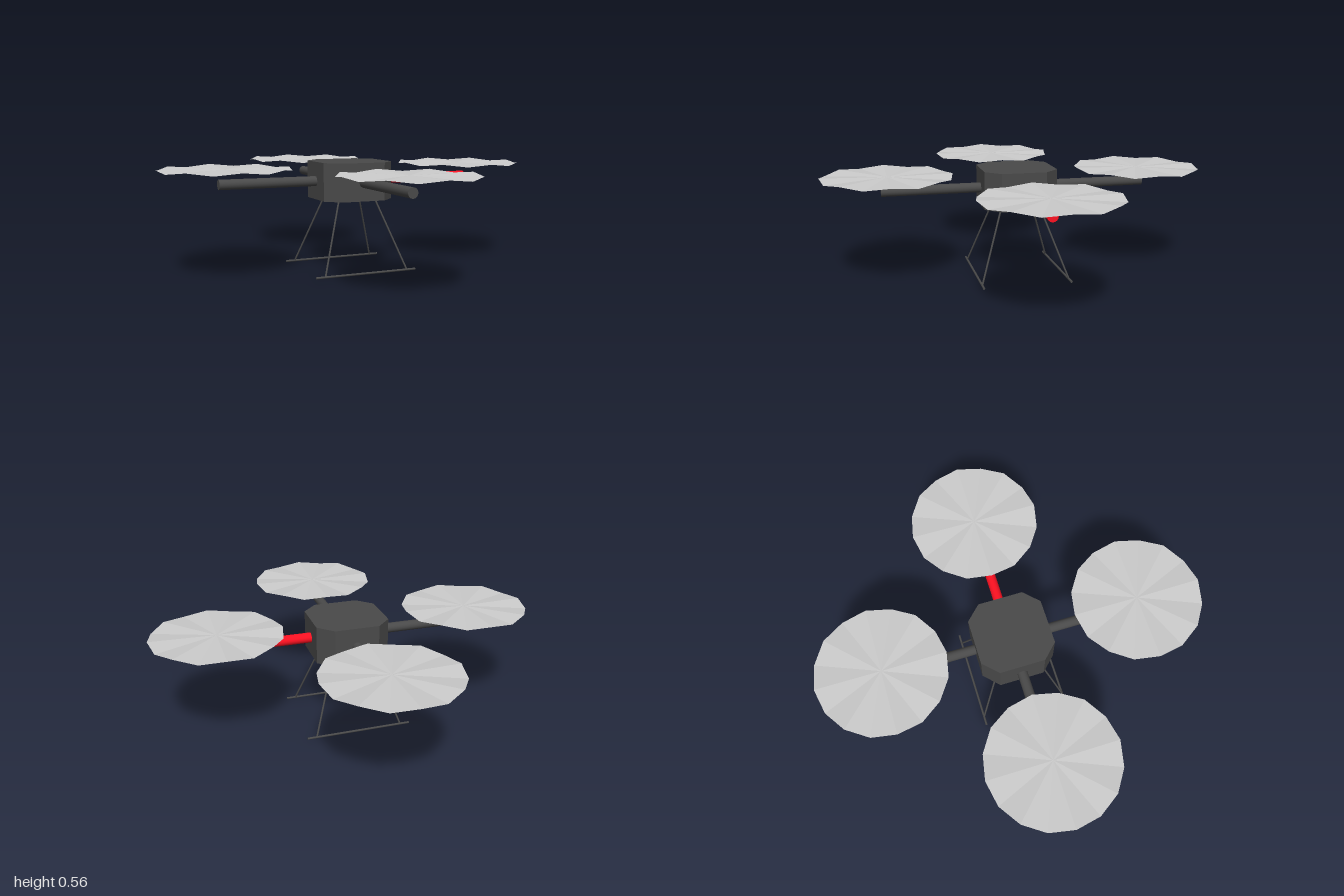
import * as THREE from 'three';

const mat = (color, extra = {}) => new THREE.MeshStandardMaterial({ color, ...extra });

export function createModel() {
  const model = new THREE.Group();
  const dark = mat(0x4a4a4a);
  const darkFlat = mat(0x4a4a4a, { flatShading: true });
  const red = mat(0xff1122);
  const rotorMat = mat(0xcccccc, { flatShading: true, side: THREE.DoubleSide });

  const add = (name, geometry, material, parent = model) => {
    const mesh = new THREE.Mesh(geometry, material);
    mesh.name = name;
    parent.add(mesh);
    return mesh;
  };

  // Round rod between two points
  const rod = (name, a, b, radius, material, sides) => {
    const dir = b.clone().sub(a);
    const mesh = add(name, new THREE.CylinderGeometry(radius, radius, dir.length(), sides), material);
    mesh.position.copy(a).add(b).multiplyScalar(0.5);
    mesh.quaternion.setFromUnitVectors(new THREE.Vector3(0, 1, 0), dir.normalize());
    return mesh;
  };

  // Body: square block with chamfered upright corners
  const h = 0.19, c = 0.115, bottom = 0.37, top = 0.565;
  const outline = [[h, -c], [h, c], [c, h], [-c, h], [-h, c], [-h, -c], [-c, -h], [c, -h]];
  const shape = new THREE.Shape(outline.map(([x, y]) => new THREE.Vector2(x, y)));
  const bodyGeo = new THREE.ExtrudeGeometry(shape, { depth: top - bottom, bevelEnabled: false });
  bodyGeo.rotateX(-Math.PI / 2);
  add('body', bodyGeo, darkFlat).position.y = bottom;

  // Coloured marker panels under the body
  const panels = [['redPanel', 0xff0000, 1, 1], ['greenPanel', 0x00ff00, -1, 1], ['bluePanel', 0x0000ff, -1, -1]];
  for (const [name, color, sx, sz] of panels) {
    const geo = new THREE.PlaneGeometry(h, c);
    geo.rotateX(Math.PI / 2);
    add(name, geo, mat(color)).position.set(sx * h / 2, bottom - 0.001, sz * c / 2);
  }

  // Rotor disc: shallow fan whose rim rises and falls
  const rotorGeo = new THREE.CircleGeometry(0.333, 16);
  rotorGeo.rotateX(-Math.PI / 2);
  const p = rotorGeo.attributes.position;
  for (let i = 1; i < p.count; i++) p.setY(i, i % 2 ? 0.006 : -0.006);
  rotorGeo.computeVertexNormals();

  // Four arms, each with a rotor; the left arm is red
  const arms = [['left', 1, 0], ['right', -1, 0], ['front', 0, 1], ['back', 0, -1]];
  for (const [side, x, z] of arms) {
    const at = (r) => new THREE.Vector3(x * r, 0.465, z * r);
    rod(side + 'Arm', at(0.15), at(0.7), 0.026, side === 'left' ? red : dark, 16);
    add(side + 'Rotor', rotorGeo, rotorMat).position.set(x * 0.667, 0.54, z * 0.667);
  }

  // Landing gear: two skids along x, each on two splayed legs
  for (const z of [1, -1]) {
    const end = z > 0 ? 'front' : 'back';
    rod(end + 'Skid', new THREE.Vector3(-0.277, 0.006, z * 0.228),
      new THREE.Vector3(0.277, 0.006, z * 0.228), 0.006, dark, 8);
    for (const x of [1, -1]) {
      rod(end + (x > 0 ? 'Left' : 'Right') + 'Leg', new THREE.Vector3(x * 0.1, 0.375, z * 0.1),
        new THREE.Vector3(x * 0.228, 0.006, z * 0.228), 0.005, dark, 8);
    }
  }
  return model;
}
